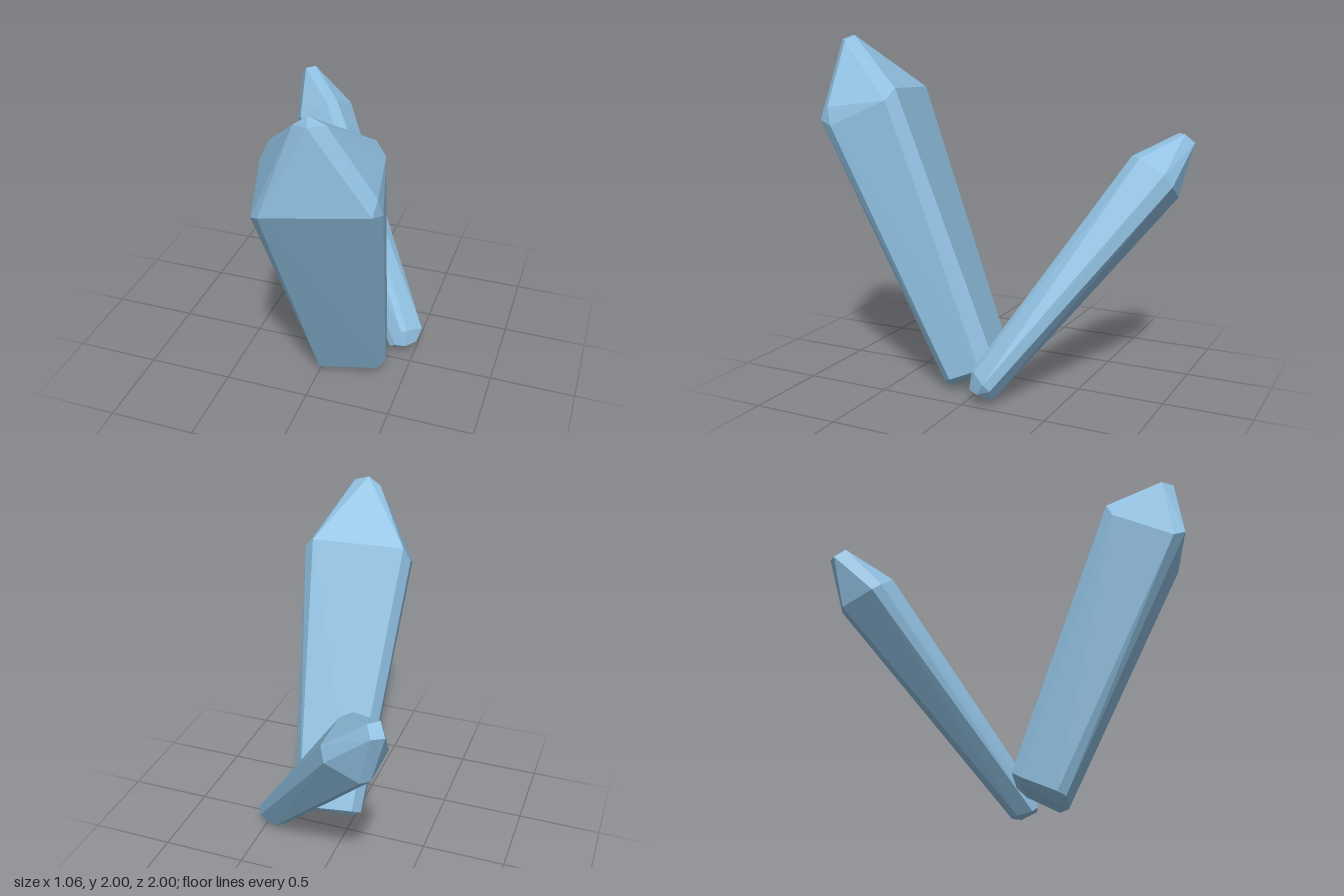
import * as THREE from 'three';
import { ConvexGeometry } from 'three/addons/geometries/ConvexGeometry.js';

const material = new THREE.MeshStandardMaterial({ color: 0x8fbfe0, flatShading: true });

// A faceted crystal: the convex skin around its cross-sections, from base to tip
function crystal(name, ...sections) {
  const points = sections.flat().map((p) => new THREE.Vector3(...p));
  const mesh = new THREE.Mesh(new ConvexGeometry(points), material);
  mesh.name = name;
  return mesh;
}

export function createModel() {
  const group = new THREE.Group();
  group.name = 'crystalCluster';

  // Large crystal, leaning forward
  group.add(crystal('largeCrystal',
    // base facet
    [[0.02, 0.0, 0.2], [0.33, 0.03, 0.14], [0.28, 0.12, -0.04], [-0.03, 0.1, 0.02]],
    // bevelled lower edge
    [[0.0, 0.03, 0.26], [-0.035, 0.05, 0.22], [-0.08, 0.13, 0.03], [-0.04, 0.17, -0.03],
      [0.28, 0.18, -0.1], [0.34, 0.15, -0.03], [0.38, 0.08, 0.14], [0.34, 0.05, 0.19]],
    // shoulder
    [[-0.04, 1.5, 1.0], [-0.1, 1.46, 0.94], [-0.18, 1.6, 0.61], [-0.145, 1.69, 0.57],
      [0.38, 1.72, 0.46], [0.44, 1.655, 0.49], [0.52, 1.51, 0.8], [0.49, 1.535, 0.885],
      [0.5, 1.61, 0.83]],
    // blunt tip
    [[0.17, 2.0, 0.86], [0.1, 1.95, 0.87], [0.19, 1.975, 0.93], [0.26, 1.97, 0.865]],
  ));

  // Small crystal, leaning backward and to the side
  group.add(crystal('smallCrystal',
    // base facet
    [[0.42, 0.03, -0.11], [0.47, 0.05, -0.16], [0.51, 0.08, -0.1], [0.46, 0.08, -0.03]],
    // bevelled lower edge
    [[0.43, 0.18, -0.03], [0.46, 0.18, -0.06], [0.53, 0.15, -0.15], [0.51, 0.11, -0.18],
      [0.42, 0.04, -0.17], [0.36, 0.04, -0.12], [0.36, 0.06, -0.03], [0.4, 0.09, -0.01]],
    // shoulder
    [[-0.28, 1.33, -0.69], [-0.23, 1.325, -0.75], [-0.19, 1.25, -0.91], [-0.22, 1.18, -0.95],
      [-0.4, 1.09, -0.935], [-0.45, 1.1, -0.91], [-0.48, 1.17, -0.72], [-0.45, 1.21, -0.68]],
    // blunt tip
    [[-0.49, 1.45, -0.9], [-0.44, 1.45, -0.95], [-0.53, 1.39, -0.95], [-0.475, 1.4, -1.0]],
  ));

  return group;
}
